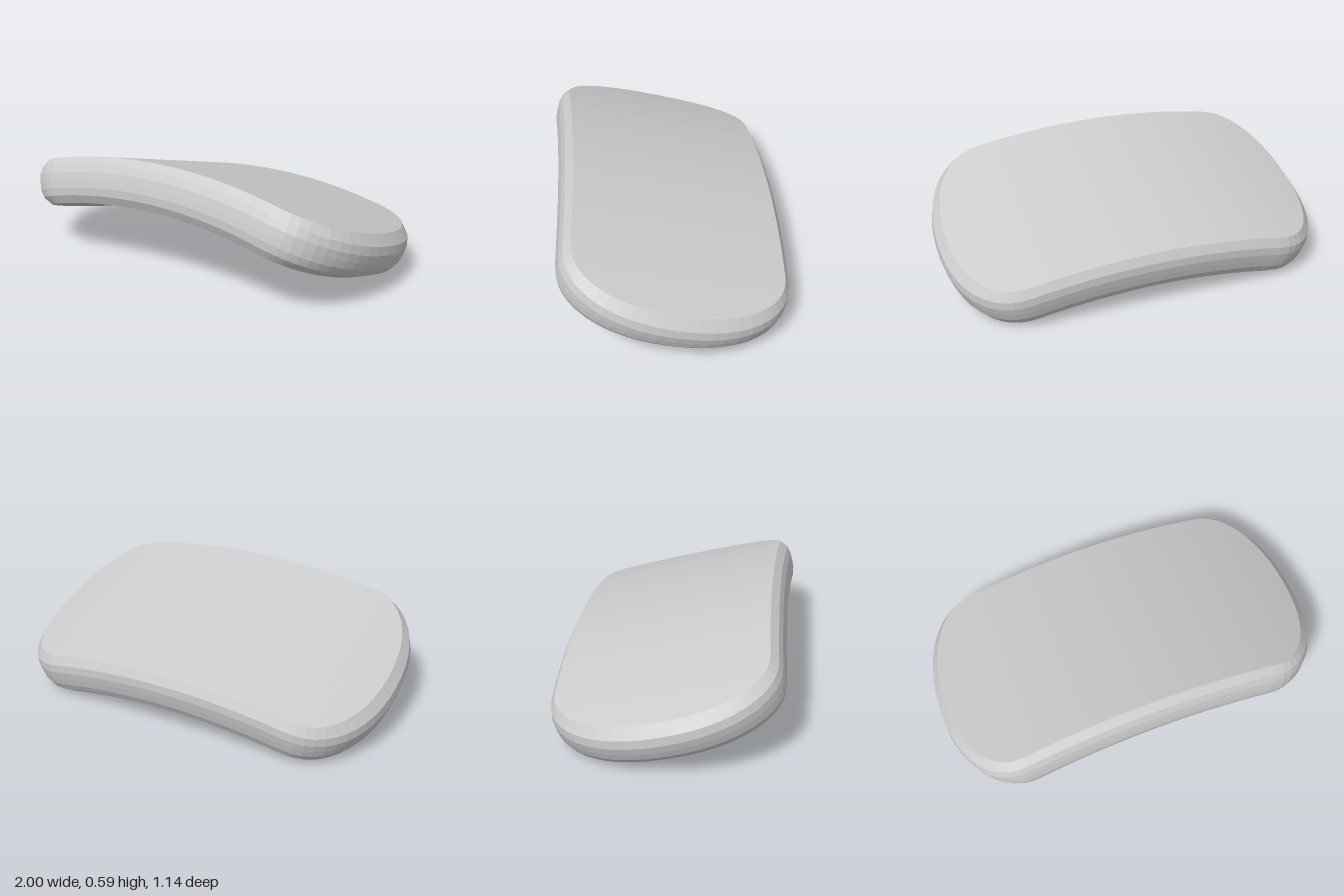
import * as THREE from 'three';

const RADIUS = 2.95;        // bend radius of the pad's middle layer
const STRAIGHT = 0.64;      // half length of the straight long edges
const LENGTH = 0.935;       // half length of the flat faces
const DEPTH = 0.528;        // half depth of the flat faces
const TILT = -0.262;        // front edge raised by about 15 degrees
const ROUND = 0.91;         // below 1 makes the rounded ends slightly squarer than an ellipse
const ARC = 12, EDGE = 16;  // segments per quarter end, per long edge

// Rim profile from top to bottom: [height, bulge 0..1]
const PROFILE = [
  [0.12, 0], [0.08, 0.73], [0.04, 0.97], [0, 1], [-0.04, 0.97], [-0.08, 0.73], [-0.12, 0],
];

// Columns from left to right: [end -1..1, straight -1..1, half depth 0..1]
function makeColumns() {
  const quarter = [];
  for (let i = 0; i < ARC; i++) {
    const a = (i / ARC) * Math.PI / 2;
    quarter.push([Math.cos(a) ** ROUND, 1, Math.sin(a) ** ROUND]);
  }
  const columns = quarter.map(([end, mid, depth]) => [-end, -mid, depth]);
  for (let i = 0; i <= EDGE; i++) columns.push([0, (2 * i) / EDGE - 1, 1]);
  return columns.concat(quarter.reverse());
}

// Pad with rounded ends, bulging rim and an arched cross-section
function makePadGeometry() {
  const columns = makeColumns();
  const last = columns.length - 1;
  const count = 2 * last;
  const positions = [], index = [];

  // One closed outline per profile row, bent around the arch
  for (const [v, bulge] of PROFILE) {
    for (let i = 0; i < count; i++) {
      const [end, mid, depth] = columns[i <= last ? i : count - i];
      const s = mid * STRAIGHT + end * (LENGTH - STRAIGHT + 0.073 * bulge);
      const z = depth * (DEPTH + 0.045 * bulge) * (i <= last ? 1 : -1);
      const angle = s / RADIUS;
      positions.push((RADIUS + v) * Math.sin(angle), (RADIUS + v) * Math.cos(angle), z);
    }
  }

  // Rim
  for (let j = 0; j < PROFILE.length - 1; j++) {
    for (let i = 0; i < count; i++) {
      const n = (i + 1) % count;
      const a = (j + 1) * count + i, b = (j + 1) * count + n;
      const c = j * count + n, d = j * count + i;
      index.push(a, b, c, a, c, d);
    }
  }

  // Top and bottom faces, as strips between the front and back edges
  const base = (PROFILE.length - 1) * count;
  const addFacePair = (a, b, c) => index.push(a, b, c, base + a, base + c, base + b);
  for (let k = 0; k < last; k++) {
    const next = count - k - 1;
    if (k < last - 1) addFacePair(k, k + 1, next);
    if (k > 0) addFacePair(k, next, count - k);
  }

  const geometry = new THREE.BufferGeometry();
  geometry.setAttribute('position', new THREE.Float32BufferAttribute(positions, 3));
  geometry.setIndex(index);

  // Tilt, centre and stand on the ground
  geometry.rotateX(TILT);
  geometry.computeBoundingBox();
  const { min, max } = geometry.boundingBox;
  geometry.translate(0, -min.y, -(min.z + max.z) / 2);
  geometry.computeVertexNormals();
  return geometry;
}

export function createModel() {
  const model = new THREE.Group();
  model.name = 'curvedPad';
  const material = new THREE.MeshStandardMaterial({ color: 0xcccccc, flatShading: true });
  const pad = new THREE.Mesh(makePadGeometry(), material);
  pad.name = 'pad';
  model.add(pad);
  return model;
}
